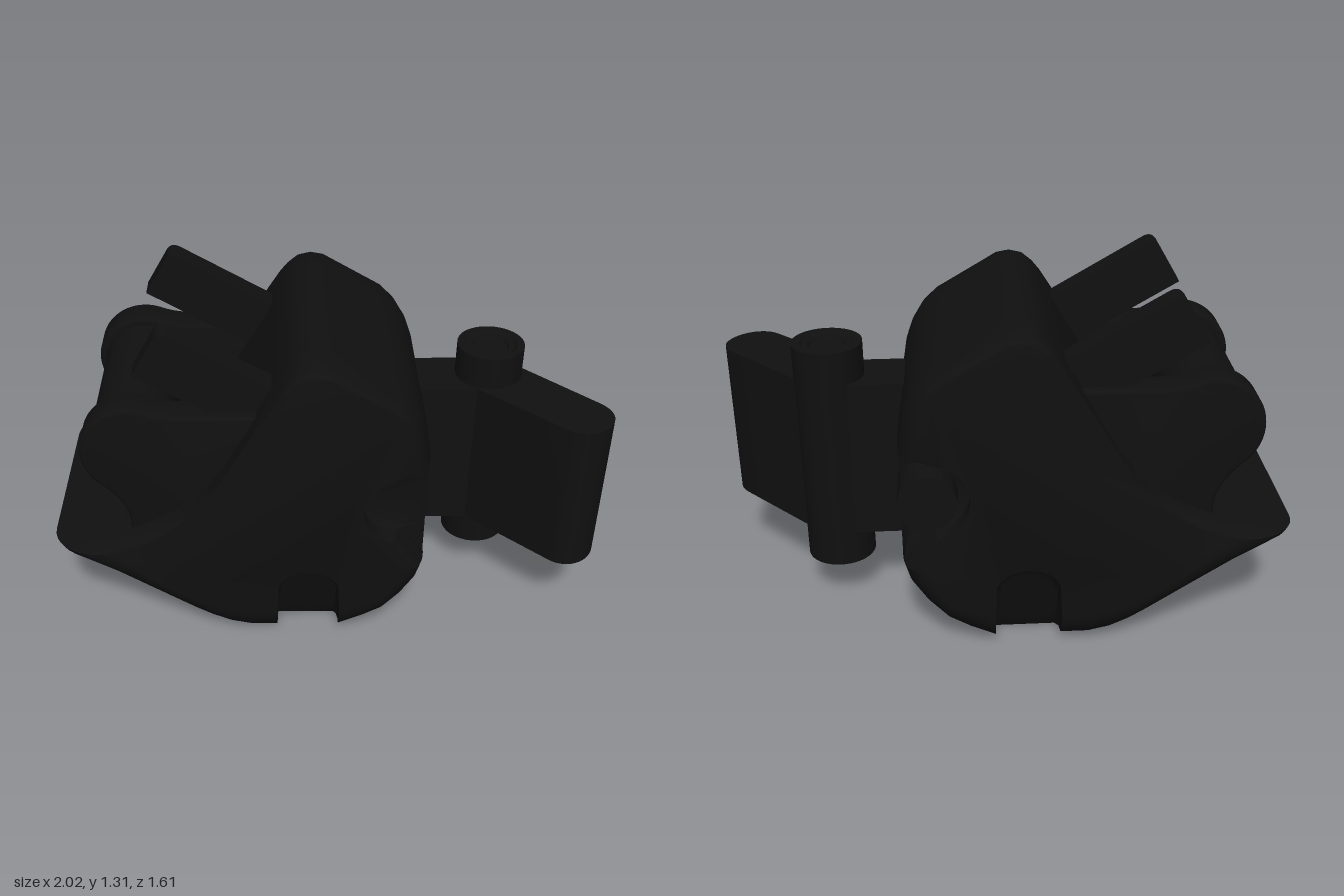
import * as THREE from 'three';
import { toCreasedNormals } from 'three/addons/utils/BufferGeometryUtils.js';

const HALF = 0.483; // half width of the body
const ROUND = 0.16; // rounding of the body's sides

// Side profile, counter-clockwise. Each entry: [u, y] or [u, y, notchedU, notchedY].
function bodyProfile() {
  const pts = [[-0.5, 0.34], [-0.48, 0.27], [-0.42, 0.18], [-0.34, 0.1], [-0.26, 0.05], [-0.2, 0.02]];
  // arched relief in the bottom edge
  for (let i = 0; i <= 10; i++) {
    const a = Math.PI * (1 - i / 10);
    pts.push([-0.18 + 0.026 * i, 0.005, -0.05 + 0.12 * Math.cos(a), i % 10 ? 0.18 + 0.13 * Math.sin(a) : 0.005]);
  }
  pts.push([0.17, 0.005], [0.25, 0.025], [0.32, 0.06], [0.39, 0.105], [0.55, 0.21], [0.74, 0.33], [0.91, 0.43], [0.92, 0.445]);
  // mouth
  pts.push([0.89, 0.447], [0.8, 0.46], [0.69, 0.485], [0.58, 0.525], [0.47, 0.58], [0.39, 0.64], [0.33, 0.7], [0.27, 0.78],
    [0.16, 0.97], [0.05, 1.16], [0.02, 1.2], [-0.02, 1.235], [-0.07, 1.247], [-0.12, 1.238]);
  // sloped top and back
  pts.push([-0.37, 1.085], [-0.42, 1.045], [-0.455, 0.99], [-0.48, 0.92], [-0.5, 0.8]);
  // round relief in the back edge
  for (let i = 0; i <= 10; i++) {
    const a = Math.PI * (0.5 - i / 10);
    pts.push([-0.5, 0.78 - 0.029 * i, -0.39 + 0.14 * Math.cos(a), 0.635 + 0.14 * Math.sin(a)]);
  }
  return pts;
}

// Lofts the profile across the width, rounding the sides and sinking the reliefs.
function bodyGeometry() {
  const profile = bodyProfile(), n = profile.length, half = [];
  for (let k = 0; k <= 8; k++) {
    const a = (k / 8) * Math.PI / 2;
    half.push([HALF - ROUND + ROUND * Math.sin(a), ROUND * (1 - Math.cos(a))]);
  }
  const layers = [...half.map(([z, e]) => [-z, e]).reverse(), ...half];
  const pos = [], index = [];
  let contour = [];
  for (const [z, e] of layers) {
    const t = THREE.MathUtils.smoothstep(Math.abs(z), HALF - 0.15, HALF - 0.08);
    contour = profile.map(([u, y, nu = u, ny = y]) => {
      let pu = u + (nu - u) * t, py = y + (ny - y) * t;
      const front = THREE.MathUtils.smoothstep(pu, 0.3, 0.92);
      const back = THREE.MathUtils.smoothstep(-pu, 0.3, 0.5);
      const low = Math.max(0, 1 - py / 0.42);
      pu += e * (0.5 * back - 1.1 * front);
      py += e * 0.9 * low - e * 0.2 * THREE.MathUtils.smoothstep(py, 1, 1.24);
      pos.push(pu, py, z);
      return new THREE.Vector2(pu, py);
    });
  }
  for (let k = 0; k < layers.length - 1; k++) {
    for (let i = 0; i < n; i++) {
      const a = k * n + i, b = k * n + (i + 1) % n;
      index.push(a, b, b + n, a, b + n, a + n);
    }
  }
  const last = (layers.length - 1) * n;
  for (const [a, b, c] of THREE.ShapeUtils.triangulateShape(contour, [])) {
    index.push(a + last, b + last, c + last, c, b, a);
  }
  const g = new THREE.BufferGeometry();
  g.setAttribute('position', new THREE.Float32BufferAttribute(pos, 3));
  g.setIndex(index);
  return toCreasedNormals(g, 0.6);
}

export function createModel() {
  const model = new THREE.Group();
  const material = new THREE.MeshStandardMaterial({ color: 0x101010 });

  const add = (parent, name, geometry, x = 0, y = 0, z = 0) => {
    const mesh = new THREE.Mesh(geometry, material);
    mesh.name = name;
    mesh.position.set(x, y, z);
    parent.add(mesh);
    return mesh;
  };
  const extrude = (shape, depth, bevel = 0) => toCreasedNormals(new THREE.ExtrudeGeometry(shape, {
    depth: depth - 2 * bevel, curveSegments: 20, bevelEnabled: bevel > 0,
    bevelSize: bevel, bevelOffset: -bevel, bevelThickness: bevel, bevelSegments: 3,
  }).translate(0, 0, bevel - depth / 2), 0.6);
  const rod = (r, length) => new THREE.CylinderGeometry(r, r, length, 40).rotateX(Math.PI / 2);

  // The head points along its own +x, turned diagonally in plan
  const turn = new THREE.Group();
  turn.rotation.y = Math.PI + 0.745;
  const head = new THREE.Group();
  head.name = 'head';
  head.position.z = 0.127;
  turn.add(head);
  model.add(turn);

  add(head, 'body', bodyGeometry());
  add(head, 'sideKnob', rod(0.105, 0.2), -0.4, 0.635, HALF - 0.095);

  // Roller held between two arms
  add(head, 'roller', rod(0.155, 0.72), 0.6, 0.85, 0);
  const arm = new THREE.Shape();
  arm.moveTo(0.2, 0.4);
  arm.lineTo(0.62, 0.4);
  arm.lineTo(0.62, 0.56);
  arm.quadraticCurveTo(0.64, 0.64, 0.715, 0.705);
  arm.absarc(0.6, 0.85, 0.185, -0.9, Math.PI * 0.6, false);
  arm.quadraticCurveTo(0.48, 1.0, 0.4, 1.0);
  arm.lineTo(0.14, 1.0);
  arm.closePath();

  // Sloping bars, tips up at the front
  const bar = new THREE.Shape();
  bar.moveTo(-0.28, -0.1);
  bar.lineTo(0.28, -0.1);
  bar.lineTo(0.28, 0.06);
  bar.quadraticCurveTo(0.28, 0.1, 0.24, 0.1);
  bar.lineTo(-0.28, 0.1);
  bar.closePath();

  for (const s of [-1, 1]) {
    add(head, 'rollerArm', extrude(arm, 0.13, 0.015), 0, 0, s * 0.335);
    add(head, 'slopingBar', extrude(bar, 0.095), 0.285, 1.1, s * 0.31).rotation.z = 0.525;
  }

  // Hinge neck behind the body
  add(head, 'hingeNeck', new THREE.BoxGeometry(0.4, 0.61, 0.235), -0.57, 0.625, 0.015);

  // Vertical hinge pin with stepped ends
  const pinProfile = [[0, 0.21], [0.065, 0.21], [0.07, 0.2], [0.09, 0.2], [0.1, 0.19], [0.128, 0.19],
    [0.128, 1.06], [0.1, 1.06], [0.09, 1.05], [0.07, 1.05], [0.065, 1.04], [0, 1.04]];
  add(model, 'hingePin', toCreasedNormals(
    new THREE.LatheGeometry(pinProfile.map(([r, y]) => new THREE.Vector2(r, y)), 40), 0.6), 0.45, 0, -0.62);

  // Hinge leaf, drawn in plan and stood upright
  const leaf = new THREE.Shape();
  leaf.moveTo(0.45, 0.49);
  leaf.lineTo(0.9, 0.48);
  leaf.bezierCurveTo(0.96, 0.48, 1.0, 0.53, 1.0, 0.59);
  leaf.bezierCurveTo(1.0, 0.66, 0.96, 0.71, 0.88, 0.712);
  leaf.lineTo(0.45, 0.735);
  leaf.absarc(0.45, 0.612, 0.123, Math.PI / 2, Math.PI * 1.5, false);
  add(model, 'hingeLeaf', extrude(leaf, 0.61).rotateX(-Math.PI / 2), 0, 0.627, 0);

  return model;
}
